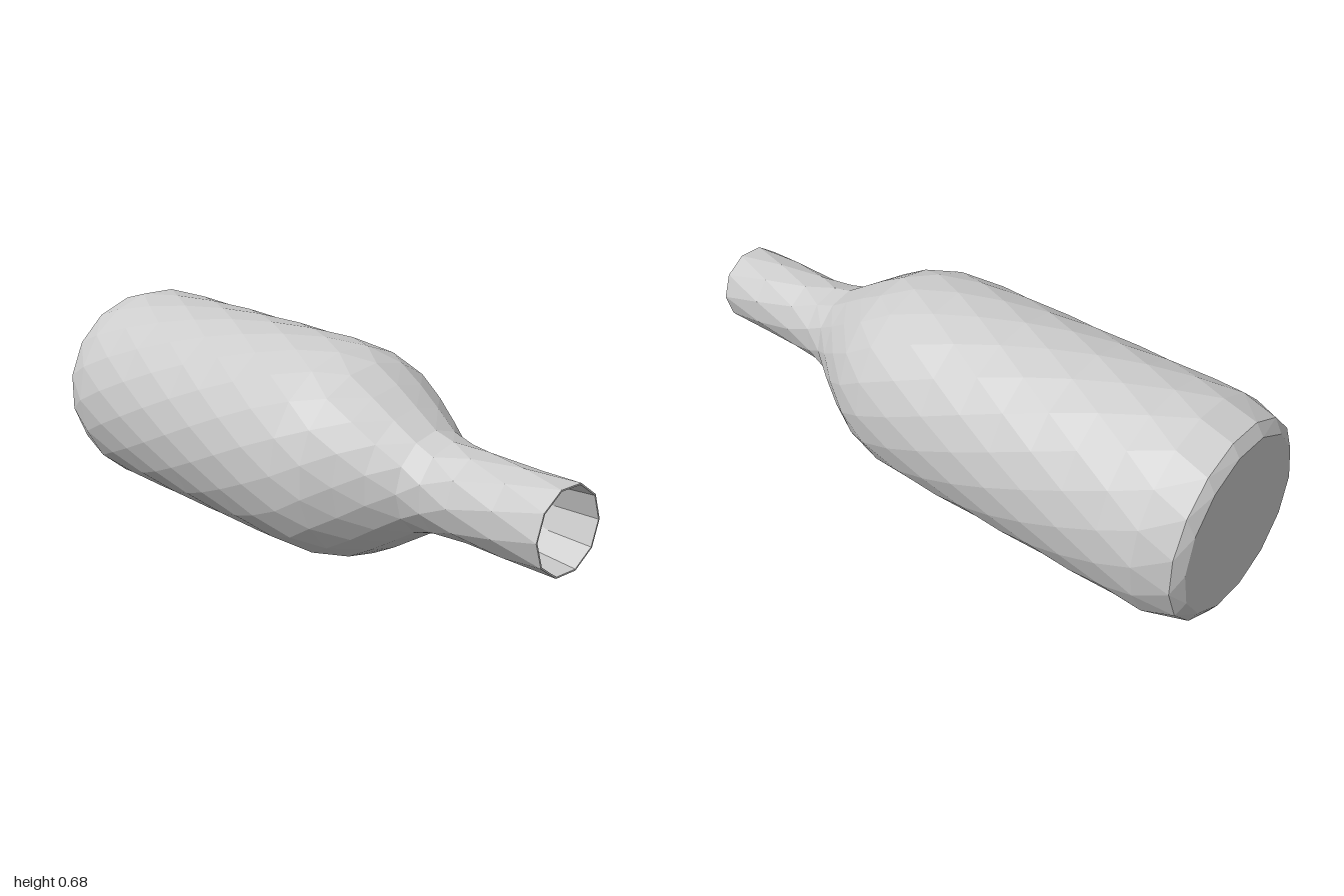
import * as THREE from 'three';

const AXIS_Y = 0.343;

// Faceted skin through rings [z, radius, sides, phase in half steps];
// neighbouring rings may have different side counts. One side = centre point.
function ringSkin(rings) {
  const pos = [];
  const angle = ([, , n, phase], i) => ((i + phase / 2) / n) * Math.PI * 2;
  const point = (ring, i) => {
    const a = angle(ring, i % ring[2]);
    pos.push(ring[1] * Math.cos(a), AXIS_Y + ring[1] * Math.sin(a), ring[0]);
  };
  for (let k = 0; k < rings.length - 1; k++) {
    const a = rings[k], b = rings[k + 1];
    const na = a[2] > 1 ? a[2] : 0, nb = b[2] > 1 ? b[2] : 0;
    let i = 0, j = 0;
    while (i < na || j < nb) {
      const stepA = j >= nb || (i < na && angle(a, i + 1) <= angle(b, j + 1));
      point(a, i);
      point(b, j);
      if (stepA) point(a, ++i);
      else point(b, ++j);
    }
  }
  const geo = new THREE.BufferGeometry();
  geo.setAttribute('position', new THREE.Float32BufferAttribute(pos, 3));
  geo.computeVertexNormals();
  return geo;
}

export function createModel() {
  const group = new THREE.Group();
  group.name = 'bottle';
  const material = new THREE.MeshStandardMaterial({ color: 0xcccccc, flatShading: true });
  const add = (name, rings) => {
    const mesh = new THREE.Mesh(ringSkin(rings), material);
    mesh.name = name;
    group.add(mesh);
  };

  const neckEnd = [0.51, 0.158, 12, 0];
  const bodyEnd = [-0.87, 0.342, 18, 0];

  // Neck, mouth to shoulder
  add('neck', [
    [1, 0.132, 10, 0], [0.84, 0.132, 10, 1], [0.68, 0.133, 10, 0],
    [0.58, 0.141, 10, 1], neckEnd,
  ]);

  // Rounded shoulder and straight body with staggered facets
  const body = [
    neckEnd, [0.43, 0.208, 14, 1], [0.35, 0.258, 16, 0],
    [0.26, 0.306, 18, 1], [0.16, 0.334, 18, 0],
  ];
  for (let i = 0; i < 7; i++) body.push([0.03 - i * 0.13, 0.342, 18, (i + 1) % 2]);
  body.push(bodyEnd);
  add('body', body);

  // Bevelled edge and flat base
  add('base', [bodyEnd, [-0.975, 0.312, 16, 1], [-1, 0.275, 14, 0], [-1, 0, 1, 0]]);

  // Hollow inside, floor to mouth
  add('inside', [
    [-0.93, 0, 1, 0], [-0.93, 0.25, 12, 0], [-0.8, 0.29, 12, 1],
    [0.1, 0.28, 12, 0], [0.35, 0.2, 12, 1], [0.52, 0.088, 10, 0],
    [0.7, 0.1, 10, 1], [0.86, 0.115, 10, 0], [1, 0.127, 10, 0],
  ]);

  // Thin lip joining inside and neck
  add('lip', [[1, 0.127, 10, 0], [1, 0.132, 10, 0]]);

  return group;
}
